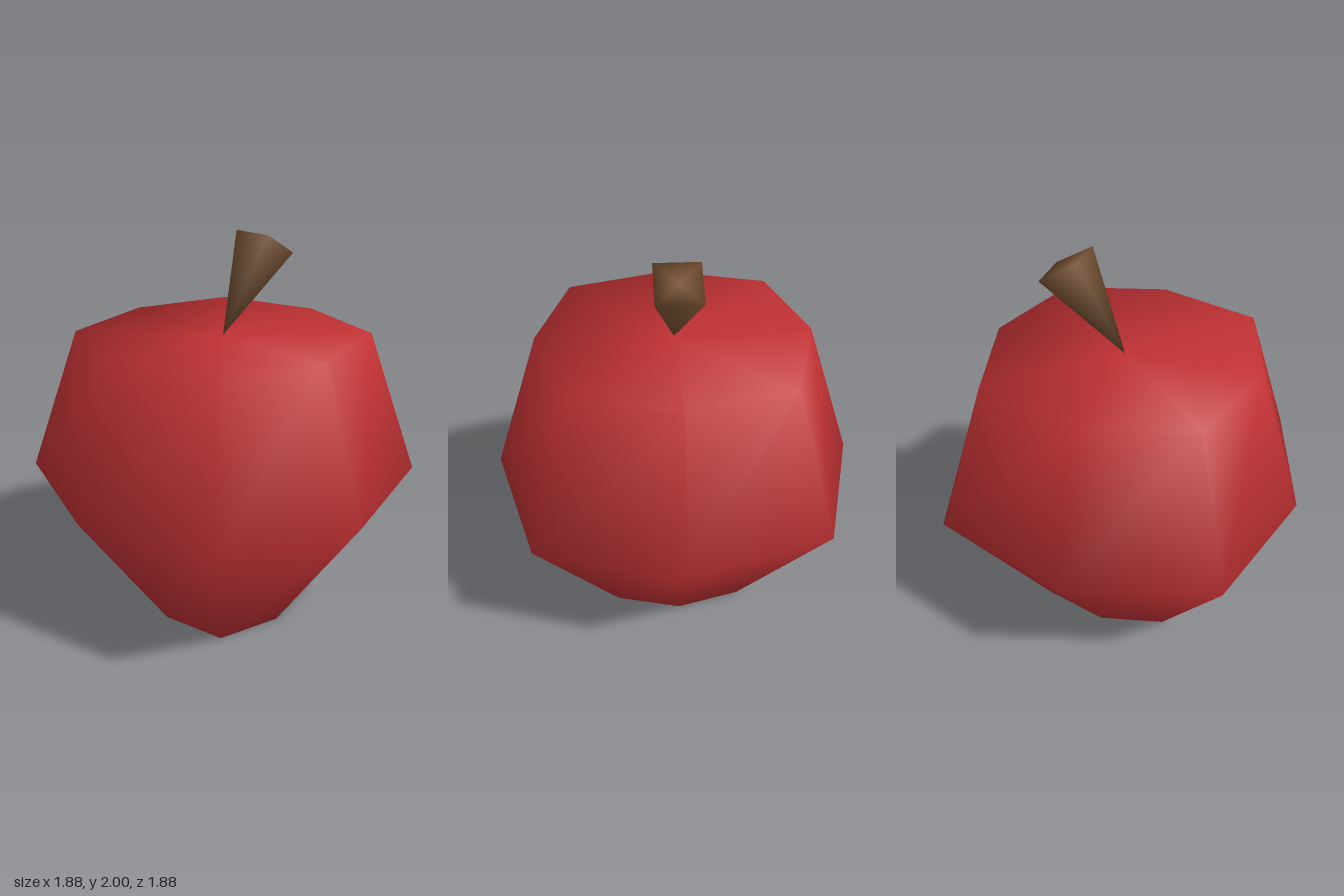
import * as THREE from 'three';

// Closed smooth solid: a bottom point, rings counter-clockwise from above, a top point
function loft(bottom, rings, top) {
  const n = rings[0].length;
  const points = [bottom, ...rings.flat(), top];
  const last = points.length - 1;
  const at = (r, k) => 1 + r * n + (k % n);
  const index = [];
  for (let k = 0; k < n; k++) {
    index.push(0, at(0, k + 1), at(0, k));
    for (let r = 0; r < rings.length - 1; r++) {
      const a = at(r, k), b = at(r, k + 1), c = at(r + 1, k + 1), d = at(r + 1, k);
      index.push(a, b, c, a, c, d);
    }
    index.push(last, at(rings.length - 1, k), at(rings.length - 1, k + 1));
  }
  const geometry = new THREE.BufferGeometry();
  geometry.setAttribute('position', new THREE.Float32BufferAttribute(points.flat(), 3));
  geometry.setIndex(index);
  geometry.computeVertexNormals();
  return geometry;
}

// Eight-point ring whose diagonal corners reach further out than the axis points
function squarishRing(y, axisRadius, cornerRadius) {
  return Array.from({ length: 8 }, (_, k) => {
    const angle = k * Math.PI / 4;
    const r = k % 2 ? cornerRadius : axisRadius;
    return [r * Math.sin(angle), y, r * Math.cos(angle)];
  });
}

export function createModel() {
  const red = new THREE.MeshStandardMaterial({ color: 0xc03134 });
  red.name = 'appleRed';
  const brown = new THREE.MeshStandardMaterial({ color: 0x785232 });
  brown.name = 'stemBrown';

  const group = new THREE.Group();
  group.name = 'apple';

  // Fruit: narrow base, wide middle, shallow dimple on top
  const fruit = new THREE.Mesh(loft(
    [0, 0.01, 0],
    [
      squarishRing(0, 0.42, 0.475),
      squarishRing(0.78, 0.94, 1.02),
      squarishRing(1.525, 0.685, 0.75),
    ],
    [0, 1.51, 0],
  ), red);
  fruit.name = 'fruit';

  // Stem: square pyramid standing on its tip and leaning back
  const stem = new THREE.Mesh(loft(
    [0, 1.51, 0],
    [[[-0.11, 2, -0.2], [0.11, 2, -0.2], [0.11, 1.89, -0.39], [-0.11, 1.89, -0.39]]],
    [0, 1.945, -0.295],
  ), brown);
  stem.name = 'stem';

  group.add(fruit, stem);
  return group;
}
